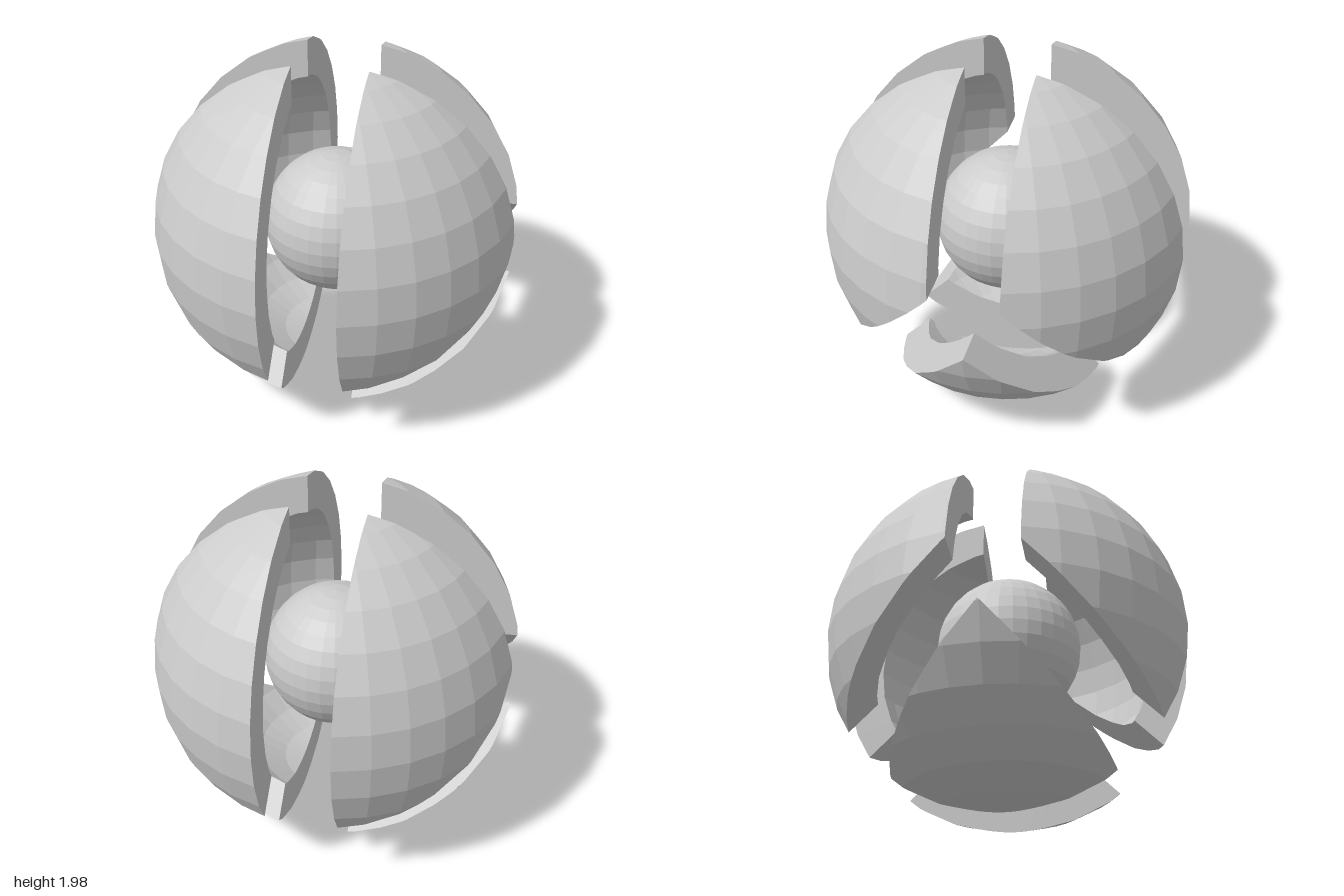
import * as THREE from 'three';

const OUTER = 1.02, INNER = 0.816, SEGS = 32, RINGS = 16;
const material = new THREE.MeshStandardMaterial({ color: 0xcccccc, flatShading: true });

// Point on a unit sphere grid: ring i from the top, segment j around y
function gridPoint(i, j, r) {
  const t = (Math.PI * i) / RINGS, a = (2 * Math.PI * j) / SEGS;
  return new THREE.Vector3(Math.sin(t) * Math.cos(a), Math.cos(t), Math.sin(t) * Math.sin(a)).multiplyScalar(r);
}

// One block of the thick shell; only its outer and inner faces are drawn
function shellCell(i, j) {
  const ring = [[i, j], [i, j + 1], [i + 1, j + 1], [i + 1, j]];
  const o = ring.map(([u, v]) => gridPoint(u, v, OUTER));
  const n = ring.map(([u, v]) => gridPoint(u, v, INNER));
  const faces = [{ pts: o, drawn: true }, { pts: [...n].reverse(), drawn: true }];
  for (let k = 0; k < 4; k++) {
    const m = (k + 1) % 4;
    faces.push({ pts: [o[m], o[k], n[k], n[m]], drawn: false });
  }
  return faces;
}

// Cut a convex block, keeping the side the plane normal points to, and cap it
function cut(faces, plane) {
  const rim = [], kept = [];
  for (const { pts, drawn } of faces) {
    const out = [];
    pts.forEach((p, k) => {
      const q = pts[(k + 1) % pts.length];
      const dp = plane.distanceToPoint(p), dq = plane.distanceToPoint(q);
      if (dp >= 0) out.push(p);
      if ((dp >= 0) !== (dq >= 0)) {
        const x = p.clone().lerp(q, dp / (dp - dq));
        out.push(x);
        rim.push(x);
      }
    });
    if (out.length > 2) kept.push({ pts: out, drawn });
  }
  if (rim.length > 2) {
    const c = rim.reduce((s, p) => s.add(p), new THREE.Vector3()).divideScalar(rim.length);
    const normal = plane.normal.clone().negate();
    const u = new THREE.Vector3(0.31, 0.52, 0.79).cross(normal).normalize();
    const v = normal.clone().cross(u);
    const angle = (p) => Math.atan2(p.clone().sub(c).dot(v), p.clone().sub(c).dot(u));
    kept.push({ pts: rim.sort((a, b) => angle(a) - angle(b)), drawn: true });
  }
  return kept;
}

// Thick shell segment bounded by planes
function shellPiece(name, planes) {
  const pos = [], tri = new THREE.Triangle();
  for (let i = 0; i < RINGS; i++) {
    for (let j = 0; j < SEGS; j++) {
      const faces = planes.reduce(cut, shellCell(i, j));
      for (const { pts, drawn } of faces) {
        if (!drawn) continue;
        for (let k = 1; k < pts.length - 1; k++) {
          tri.set(pts[0], pts[k], pts[k + 1]);
          if (tri.getArea() > 1e-9) for (const p of [tri.a, tri.b, tri.c]) pos.push(p.x, p.y, p.z);
        }
      }
    }
  }
  const geo = new THREE.BufferGeometry();
  geo.setAttribute('position', new THREE.Float32BufferAttribute(pos, 3));
  geo.computeVertexNormals();
  const mesh = new THREE.Mesh(geo, material);
  mesh.name = name;
  return mesh;
}

// Plane keeping a*x + b*y + c*z >= d, with y measured from the centre
const keep = (a, b, c, d) => new THREE.Plane(new THREE.Vector3(a, b, c), -d).normalize();

export function createModel() {
  const group = new THREE.Group();
  group.name = 'splitSphere';

  // Slots are very slightly skewed along x
  const wedges = {
    FrontShell: [keep(0.0175, 0, 1, 0.1825), keep(0.03, 1, 1, 0.3)],
    BackShell: [keep(-0.0125, 0, -1, 0.1875), keep(0.0275, 1, -1, 0.315)],
    BottomShell: [keep(-0.025, -1, -1, 0.22), keep(-0.025, -1, 1, 0.205)],
  };
  for (const [side, s] of [['left', 1], ['right', -1]]) {
    for (const [name, planes] of Object.entries(wedges)) {
      group.add(shellPiece(side + name, [keep(s, 0, 0, 0.2), ...planes]));
    }
  }

  // Inner ball
  const core = new THREE.Mesh(new THREE.SphereGeometry(0.406, SEGS, RINGS), material);
  core.name = 'core';
  group.add(core);

  group.children.forEach((m) => { m.position.y = 1; });
  return group;
}
